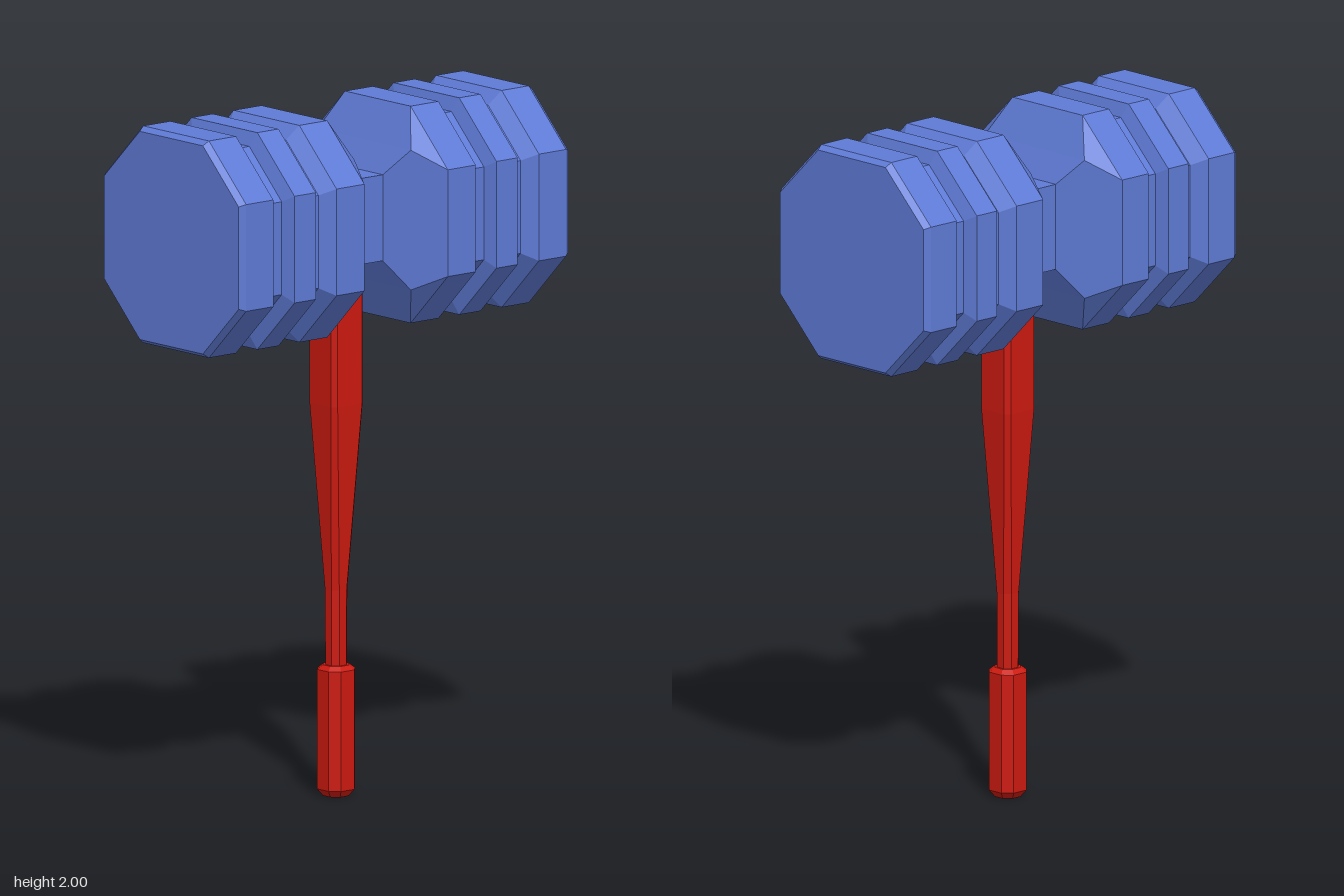
import * as THREE from 'three';

// Lofts chamfered-rectangle sections along an axis and caps both ends.
// Ring: [t, halfU, halfV, flatU, flatV]; flat = half length of the flat edge
// (flat equal to half gives a sharp square corner).
function loft(rings, place) {
  const loops = rings.map(([t, u, v, fu, fv]) =>
    [[u, fv], [fu, v], [-fu, v], [-u, fv], [-u, -fv], [-fu, -v], [fu, -v], [u, -fv]]
      .map(([a, b]) => place(t, a, b)));
  const pos = [];
  const tri = (a, b, c) => {
    if (new THREE.Triangle(a, b, c).getArea() < 1e-9) return;
    for (const p of [a, b, c]) pos.push(p.x, p.y, p.z);
  };
  for (let i = 0; i < loops.length - 1; i++) {
    for (let j = 0; j < 8; j++) {
      const k = (j + 1) % 8, lo = loops[i], hi = loops[i + 1];
      tri(lo[j], lo[k], hi[k]);
      tri(lo[j], hi[k], hi[j]);
    }
  }
  const first = loops[0], last = loops[loops.length - 1];
  for (let j = 1; j < 7; j++) {
    tri(first[0], first[j + 1], first[j]);
    tri(last[0], last[j], last[j + 1]);
  }
  const geo = new THREE.BufferGeometry();
  geo.setAttribute('position', new THREE.Float32BufferAttribute(pos, 3));
  geo.computeVertexNormals();
  return geo;
}

function part(name, geo, color) {
  const mesh = new THREE.Mesh(geo, new THREE.MeshStandardMaterial({ color, flatShading: true }));
  mesh.name = name;
  return mesh;
}

export function createModel() {
  const group = new THREE.Group();
  group.name = 'mallet';

  // Head: square neck flaring into grooved octagonal drums, mirrored in x
  const square = (x, h) => [x, h, h, h, h];
  const octagon = (x, s) => [x, 0.315 * s, 0.305 * s, 0.155 * s, 0.143 * s];
  const groove = 0.87;
  const half = [
    square(0.068, 0.125), square(0.106, 0.203), octagon(0.157, 1),
    octagon(0.262, 1), octagon(0.296, groove), octagon(0.327, groove), octagon(0.34, 1),
    octagon(0.42, 1), octagon(0.434, groove), octagon(0.465, groove), octagon(0.5, 1),
    octagon(0.602, 1), octagon(0.62, 0.96),
  ];
  const mirrored = half.map(([x, ...rest]) => [-x, ...rest]).reverse();
  const head = part('head',
    loft([...mirrored, ...half], (t, u, v) => new THREE.Vector3(t, u, v)), 0x5f7bd6);
  head.position.y = 1.685;
  group.add(head);

  // Handle: chamfered shaft tapering down to the grip
  const along = (t, u, v) => new THREE.Vector3(v, t, u);
  const bar = (y, h, f) => [y, h, h, f, f];
  const shaft = part('shaft', loft([
    bar(0.36, 0.029, 0.013), bar(0.6, 0.03, 0.014),
    bar(1.14, 0.06, 0.046), bar(1.6, 0.06, 0.046),
  ], along), 0xcc1a10);

  // Grip: octagonal sleeve with bevelled ends
  const grip = part('grip', loft([
    bar(0, 0.036, 0.016), bar(0.02, 0.05, 0.025),
    bar(0.367, 0.05, 0.025), bar(0.38, 0.036, 0.016),
  ], along), 0xcc1a10);

  const handle = new THREE.Group();
  handle.name = 'handle';
  handle.add(shaft, grip);
  handle.position.set(-0.003, 0, 0.004);
  group.add(handle);
  return group;
}
